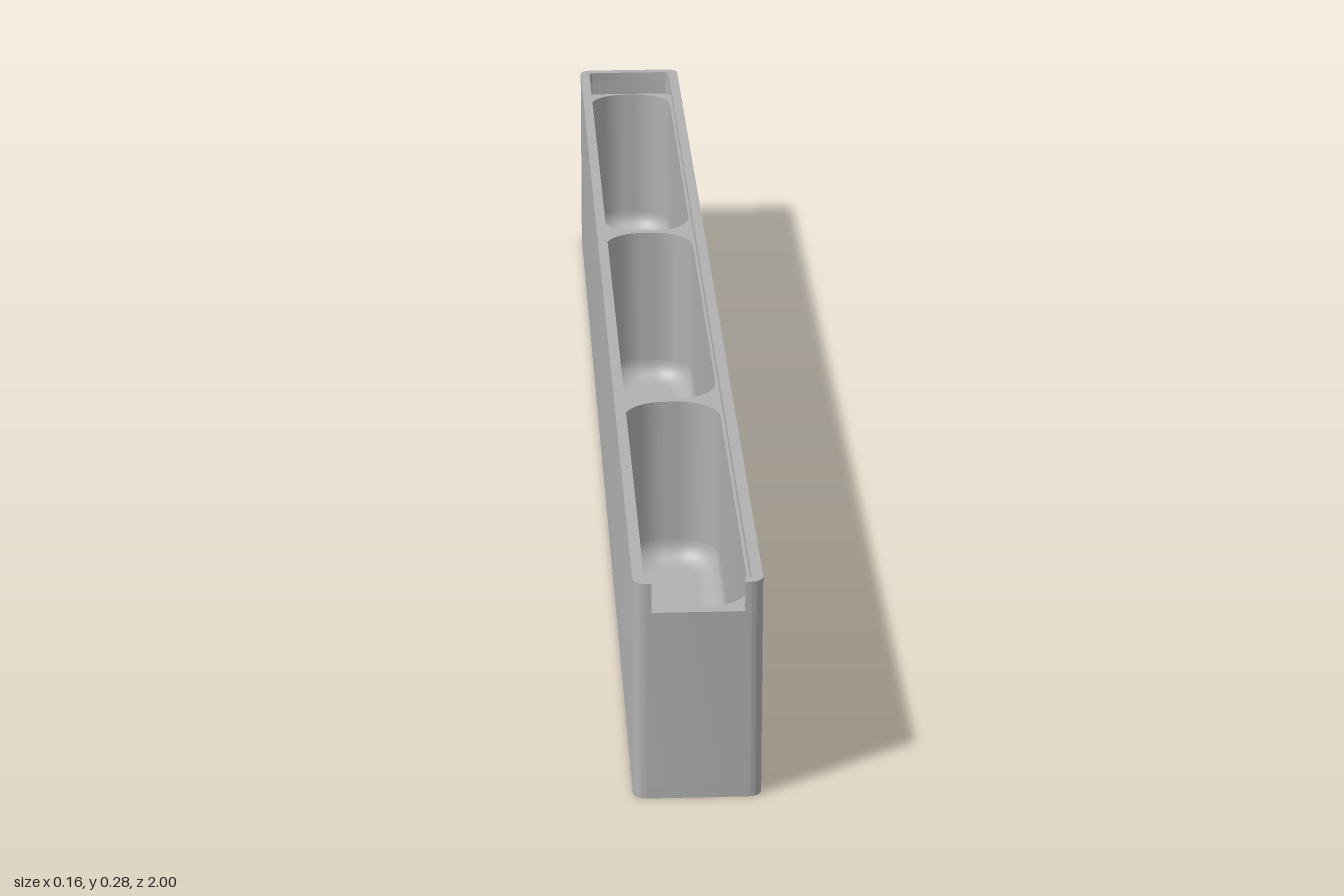
import * as THREE from 'three';
import { toCreasedNormals } from 'three/addons/utils/BufferGeometryUtils.js';

const HALF_W = 0.078, HALF_L = 1, FLOOR = 0.015, LEDGE = 0.247, GROOVE = 0.272, TOP = 0.285;
const POCKET_W = 0.064, POCKET_R = 0.055, FILLET = 0.03, NOTCH = 0.056;
const POCKETS = [[-0.988, -0.338], [-0.328, 0.325], [0.335, 0.986]];

// Points of a rounded rectangle, counter-clockwise
function roundedRect(w, y0, y1, r, steps = 10) {
  const points = [];
  const corners = [[w - r, y1 - r], [r - w, y1 - r], [r - w, y0 + r], [w - r, y0 + r]];
  corners.forEach(([cx, cy], q) => {
    for (let i = 0; i <= steps; i++) {
      const a = (q + i / steps) * Math.PI / 2;
      points.push(new THREE.Vector2(cx + r * Math.cos(a), cy + r * Math.sin(a)));
    }
  });
  return points;
}

// Upright slab from a plan shape (plan y is -z)
function slab(shape, y0, y1) {
  const g = new THREE.ExtrudeGeometry(shape, { depth: y1 - y0, bevelEnabled: false });
  g.rotateX(-Math.PI / 2).translate(0, y0, 0);
  return toCreasedNormals(g, 0.6);
}

const outline = () => roundedRect(HALF_W, -HALF_L, HALF_L, 0.016, 8);

// Wall running round the rim, open at the front for the sliding lid
function openRim(innerW, backZ, r) {
  const inner = roundedRect(innerW, -0.986, -backZ, r, 10);
  const outer = outline();
  const n = outer.length * 3 / 4, m = inner.length * 3 / 4;
  const pts = [
    new THREE.Vector2(NOTCH, -HALF_L),
    ...outer.slice(n), ...outer.slice(0, n),
    new THREE.Vector2(-NOTCH, -HALF_L),
    new THREE.Vector2(-NOTCH, -0.986),
    new THREE.Vector2(-innerW, -0.986),
    ...inner.slice(0, m - 11).reverse(),
    new THREE.Vector2(innerW, -0.986),
    new THREE.Vector2(NOTCH, -0.986),
  ];
  return new THREE.Shape(pts);
}

// Curved transition between pocket wall and floor
function filletGeometry(z0, z1) {
  const rings = 8, pos = [], index = [];
  let count = 0;
  for (let i = 0; i <= rings; i++) {
    const a = i / rings * Math.PI / 2;
    const inset = FILLET * (1 - Math.cos(a));
    const y = FLOOR + 0.0005 + FILLET * (1 - Math.sin(a));
    const ring = roundedRect(POCKET_W - inset, z0 + inset, z1 - inset, POCKET_R - inset);
    count = ring.length;
    ring.forEach(p => pos.push(p.x, y, p.y));
  }
  for (let i = 0; i < rings; i++) {
    for (let j = 0; j < count; j++) {
      const k = (j + 1) % count;
      const a = i * count + j, b = i * count + k, c = a + count, d = b + count;
      index.push(a, c, b, b, c, d);
    }
  }
  const g = new THREE.BufferGeometry();
  g.setAttribute('position', new THREE.Float32BufferAttribute(pos, 3));
  g.setIndex(index);
  g.computeVertexNormals();
  return g;
}

export function createModel() {
  const group = new THREE.Group();
  group.name = 'slidingLidBox';
  const grey = new THREE.MeshStandardMaterial({ color: 0xb0b0b0 });
  grey.name = 'grey';
  const add = (name, geometry) => {
    const mesh = new THREE.Mesh(geometry, grey);
    mesh.name = name;
    group.add(mesh);
  };

  // Floor and the block with three pockets
  add('floor', slab(new THREE.Shape(outline()), 0, FLOOR));
  const block = new THREE.Shape(outline());
  POCKETS.forEach(([z0, z1]) =>
    block.holes.push(new THREE.Path(roundedRect(POCKET_W, -z1, -z0, POCKET_R))));
  add('pocketWalls', slab(block, FLOOR, LEDGE));
  POCKETS.forEach(([z0, z1], i) => add('pocketFillet' + (i + 1), filletGeometry(z0, z1)));

  // Undercut lid groove and the lip above it
  add('lidGroove', slab(openRim(0.069, -0.992, 0.016), LEDGE, GROOVE));
  add('rimLip', slab(openRim(0.064, -0.986, 0.01), GROOVE, TOP));

  return group;
}
